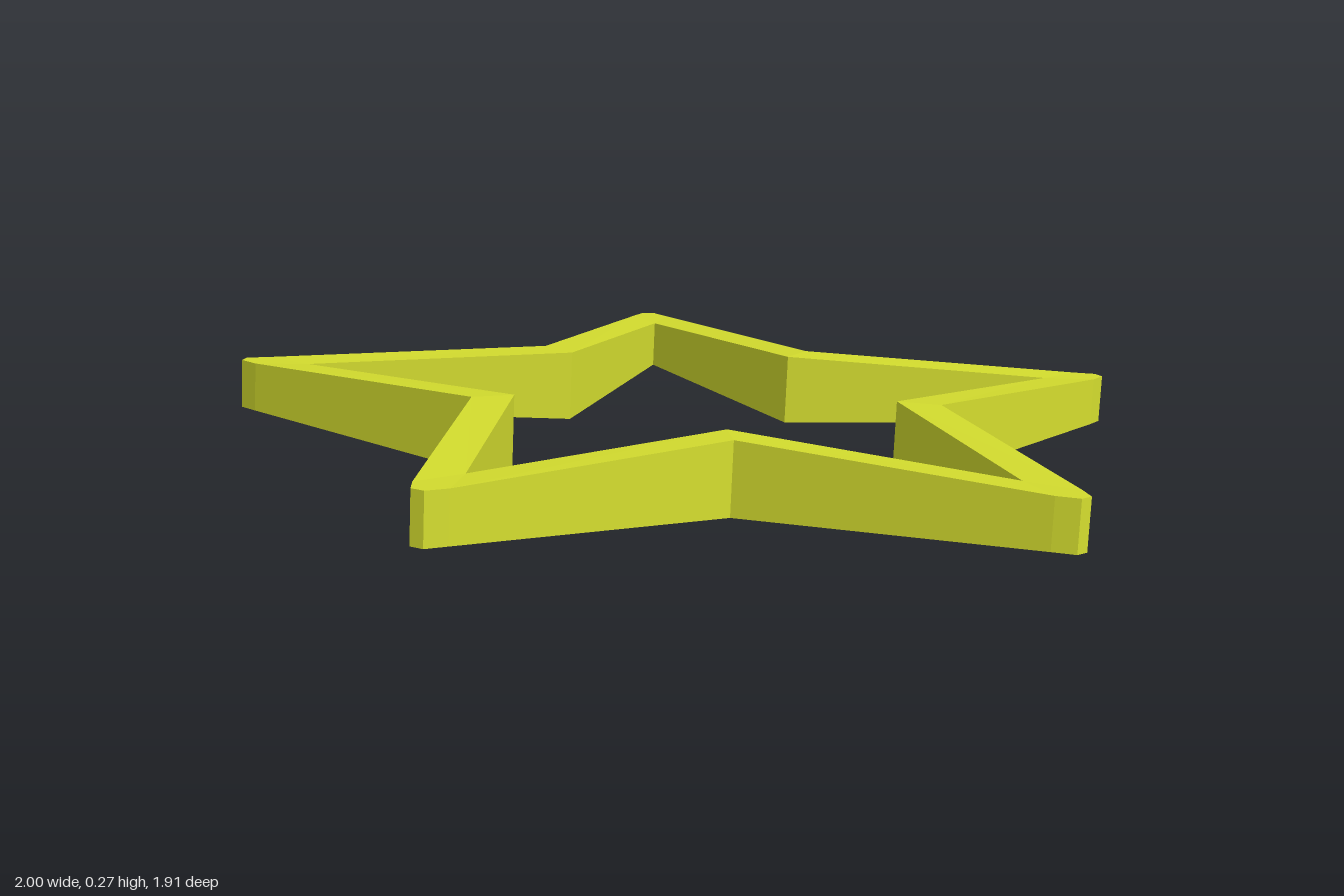
import * as THREE from 'three';

const TIP_HALF = 0.054;    // half height at the points
const NOTCH_HALF = 0.0785; // half height at the notches

// Point at a distance along an angle (from +z), shifted sideways by s
function polar(angle, r, s, half) {
  const sin = Math.sin(angle), cos = Math.cos(angle);
  return { x: sin * r + cos * s, z: cos * r - sin * s, half };
}

// Matching outer and inner outlines, counter-clockwise from above
function starOutlines() {
  const outer = [], inner = [];
  for (let k = 0; k < 5; k++) {
    const tip = (k * Math.PI * 2) / 5;
    const notch = tip + Math.PI / 5;
    // blunted point: four outer corners share one inner corner
    for (const [s, r] of [[-0.041, 1.005], [-0.015, 1.047], [0.015, 1.047], [0.041, 1.005]]) {
      outer.push(polar(tip, r, s, TIP_HALF));
      inner.push(polar(tip, 0.895, 0, TIP_HALF));
    }
    outer.push(polar(notch, 0.525, 0, NOTCH_HALF));
    inner.push(polar(notch, 0.43, 0, NOTCH_HALF));
  }
  return { outer, inner };
}

function starRingGeometry() {
  const { outer, inner } = starOutlines();
  const positions = [];
  const top = (p) => [p.x, p.half, p.z];
  const bottom = (p) => [p.x, -p.half, p.z];
  const same = (a, b) => a.every((v, i) => Math.abs(v - b[i]) < 1e-6);
  const tri = (a, b, c) => {
    if (!same(a, b) && !same(b, c) && !same(a, c)) positions.push(...a, ...b, ...c);
  };
  const quad = (a, b, c, d) => { tri(a, b, c); tri(a, c, d); };

  outer.forEach((o0, i) => {
    const j = (i + 1) % outer.length;
    const o1 = outer[j], i0 = inner[i], i1 = inner[j];
    quad(top(o0), top(o1), top(i1), top(i0));             // upper face
    quad(bottom(i0), bottom(i1), bottom(o1), bottom(o0)); // lower face
    quad(bottom(o0), bottom(o1), top(o1), top(o0));       // outer wall
    quad(bottom(i1), bottom(i0), top(i0), top(i1));       // inner wall
  });

  const geometry = new THREE.BufferGeometry();
  geometry.setAttribute('position', new THREE.Float32BufferAttribute(positions, 3));
  geometry.computeVertexNormals();
  return geometry;
}

export function createModel() {
  const yellow = new THREE.MeshStandardMaterial({ color: 0xd3dc2e });
  yellow.name = 'lime yellow';

  const group = new THREE.Group();
  group.name = 'starFrame';

  // Open star band, tipped up at the front
  const ring = new THREE.Mesh(starRingGeometry(), yellow);
  ring.name = 'starRing';
  ring.rotation.x = -THREE.MathUtils.degToRad(5);
  ring.position.set(0, 0.128, -0.1);
  group.add(ring);
  return group;
}
